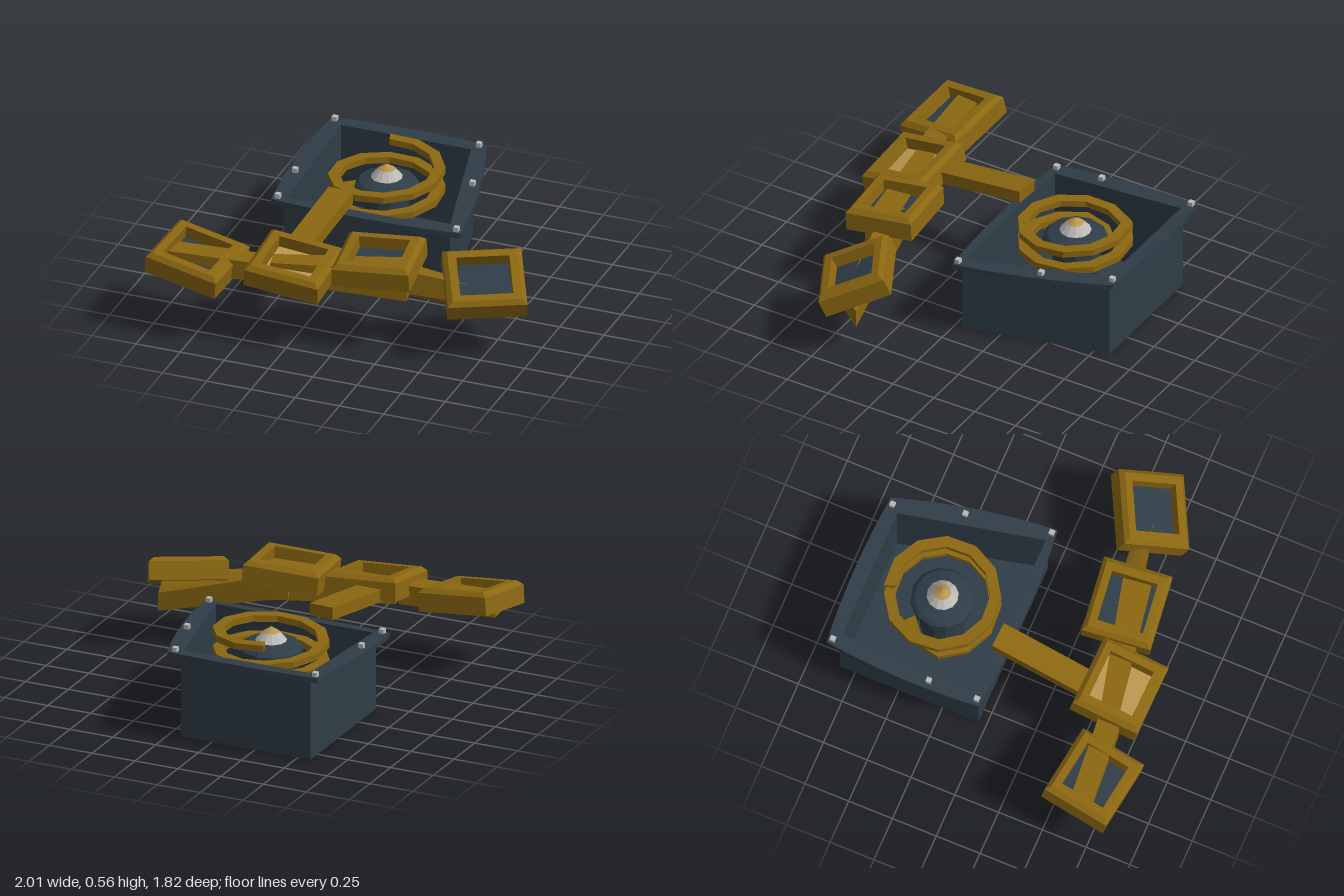
import * as THREE from 'three';
import { mergeGeometries } from 'three/addons/utils/BufferGeometryUtils.js';

const material = (name, color) => {
  const m = new THREE.MeshStandardMaterial({ color });
  m.name = name;
  return m;
};
const V = (x, y, z) => new THREE.Vector3(x, y, z);

// Four-sided bar from a to b; each end has its own width and height vector.
function beam(a, b, wa, ha, wb = wa, hb = ha) {
  const g = new THREE.BoxGeometry(1, 1, 1);
  const flip = wa.clone().cross(b.clone().sub(a)).dot(ha) < 0 ? -1 : 1;
  const p = g.attributes.position;
  for (let i = 0; i < p.count; i++) {
    const t = p.getY(i) + 0.5;
    const v = a.clone().lerp(b, t)
      .addScaledVector(wa.clone().lerp(wb, t), p.getX(i) * flip)
      .addScaledVector(ha.clone().lerp(hb, t), p.getZ(i));
    p.setXYZ(i, v.x, v.y, v.z);
  }
  g.computeVertexNormals();
  return g;
}

// Height of the sloping rim top at depth z
const rimY = (z) => 0.432 - z * 0.067;

// Trapezoid plan of the box; shape y stands for -z
function trapezoid(o, Kind) {
  const s = new Kind();
  s.moveTo(-0.565 - o, 0.055 - o);
  s.lineTo(0.352 + o, 0.055 - o);
  s.lineTo(0.17 + o, 0.825 + o);
  s.lineTo(-0.565 - o, 0.825 + o);
  s.closePath();
  return s;
}

// Upright extrusion of a plan
function slab(shape, height) {
  const g = new THREE.ExtrudeGeometry(shape, { depth: height, bevelEnabled: false, curveSegments: 8 });
  return g.rotateX(-Math.PI / 2);
}

export function createModel() {
  const root = new THREE.Group();
  const slate = material('slate', 0x2f3d47);
  const gold = material('old gold', 0x8b6711);
  const tan = material('tan', 0xb8964f);
  const silver = material('silver', 0xbcbab6);
  const add = (name, geometry, mat, parent = root) => {
    const m = new THREE.Mesh(geometry, mat);
    m.name = name;
    parent.add(m);
    return m;
  };

  // Open box with a sloping top
  const wallShape = trapezoid(0.01, THREE.Shape);
  wallShape.holes.push(trapezoid(0, THREE.Path));
  const walls = slab(wallShape, 1);
  const wp = walls.attributes.position;
  for (let i = 0; i < wp.count; i++) if (wp.getY(i) > 0.5) wp.setY(i, rimY(wp.getZ(i)) - 0.015);
  walls.computeVertexNormals();
  add('boxWalls', walls, slate);
  add('boxFloor', slab(trapezoid(0.005, THREE.Shape), 0.02), slate);

  // Bowed flange around the box top
  const rimShape = new THREE.Shape();
  rimShape.moveTo(-0.64, 0.015);
  rimShape.quadraticCurveTo(-0.1, -0.035, 0.43, 0.02);
  rimShape.quadraticCurveTo(0.385, 0.47, 0.235, 0.89);
  rimShape.quadraticCurveTo(-0.2, 0.93, -0.64, 0.885);
  rimShape.quadraticCurveTo(-0.69, 0.45, -0.64, 0.015);
  rimShape.holes.push(trapezoid(0, THREE.Path));
  const rim = slab(rimShape, 0.03);
  const rp = rim.attributes.position;
  for (let i = 0; i < rp.count; i++) rp.setY(i, rp.getY(i) + rimY(rp.getZ(i)) - 0.03);
  rim.computeVertexNormals();
  add('rim', rim, slate);

  // Small square bolts on the rim
  for (const [x, z] of [[-0.615, -0.86], [0.2, -0.865], [0.31, -0.495], [0.4, -0.04], [-0.61, -0.04], [-0.62, -0.31]]) {
    add('bolt', new THREE.BoxGeometry(0.028, 0.028, 0.028), silver).position.set(x, rimY(z) + 0.011, z);
  }

  // Central post with a pointed cap
  const cx = -0.15, cz = -0.43;
  const turned = (name, points, mat) => {
    const g = new THREE.LatheGeometry(points.map(([r, y]) => new THREE.Vector2(r, y)), 12).toNonIndexed();
    g.computeVertexNormals();
    add(name, g, mat).position.set(cx, 0, cz);
  };
  turned('post', [[0.12, 0.02], [0.12, 0.37], [0.17, 0.38], [0.17, 0.42], [0.15, 0.44], [0.085, 0.46], [0, 0.46]], slate);
  turned('capBase', [[0.085, 0.46], [0.045, 0.505]], silver);
  turned('capTip', [[0.045, 0.505], [0, 0.535]], tan);

  // Flat spiral coil, twelve straight pieces per turn, curling in at the bottom
  const steps = 23;
  const coilPoint = (i) => {
    const a = (-108.4 + 30 * i) * Math.PI / 180;
    const r = i > steps - 2 ? 0.28 - 0.045 * (i - steps + 2) : 0.28;
    return { p: V(cx + r * Math.cos(a), 0.53 - 0.009 * i, cz + r * Math.sin(a)), w: V(Math.cos(a) * 0.06, 0, Math.sin(a) * 0.06) };
  };
  const pieces = [];
  for (let i = 0; i < steps; i++) {
    const s = coilPoint(i), e = coilPoint(i + 1);
    pieces.push(beam(s.p, e.p, s.w, V(0, 0.036, 0), e.w));
  }
  add('coil', mergeGeometries(pieces), gold);

  // Chamfered square frame, unit half-width, origin at the top of its wall
  const h = -0.1, c = 0.024, q = Math.SQRT2;
  const profile = [[0.667, h], [1, h], [1, 0], [0.88, c], [0.667, c], [0.667, h]]
    .map(([r, y]) => new THREE.Vector2(r * q, y));
  const frameGeometry = new THREE.LatheGeometry(profile, 4, Math.PI / 4).toNonIndexed();
  frameGeometry.scale(0.21, 1, 0.188);
  frameGeometry.computeVertexNormals();

  // Each frame: centre, sideways edge direction, front edge direction, panel
  const frames = [
    [V(-0.77, 0.445, 0.7), V(0.415, -0.06, 0.045), V(-0.04, -0.05, 0.37), slate],
    [V(-0.25, 0.465, 0.63), V(0.418, -0.035, 0.005), V(-0.003, -0.06, 0.367), tan],
    [V(0.17, 0.51, 0.488), V(0.41, 0.022, -0.048), V(0.04, -0.027, 0.36), slate],
    [V(0.735, 0.437, 0.402), V(0.37, 0, -0.19), V(0.16, -0.16, 0.31), slate],
  ];
  for (const [centre, xEdge, zEdge, mat] of frames) {
    const x = xEdge.clone().normalize();
    const y = zEdge.clone().cross(x).normalize();
    const z = x.clone().cross(y);
    const group = new THREE.Group();
    group.name = 'frameUnit';
    group.setRotationFromMatrix(new THREE.Matrix4().makeBasis(x, y, z));
    group.position.copy(centre);
    root.add(group);
    add('frame', frameGeometry, gold, group);
    add('panel', new THREE.BoxGeometry(0.284, 0.02, 0.254), mat, group).position.y = -0.055;
  }

  // Bars that join the frames in a chain
  add('leftLink', beam(V(-0.94, 0.39, 0.69), V(-0.4, 0.39, 0.645), V(0.01, 0, 0.12), V(0, 0.11, 0)), gold);
  add('middleLink', beam(V(-0.38, 0.39, 0.625), V(0.34, 0.39, 0.48),
    V(0.02, 0, 0.1), V(0, 0.11, 0), V(0.03, 0, 0.155), V(0, 0.18, 0)), gold);
  add('rightLink', beam(V(0.17, 0.4, 0.475), V(0.865, 0.268, 0.345),
    V(0.02, 0, 0.12), V(0, 0.14, 0), V(0, 0.085, 0.075), V(0, 0.1, 0)), gold);

  // Bar reaching back towards the box
  add('arm', beam(V(-0.265, 0.505, -0.065), V(-0.305, 0.422, 0.49), V(0.14, 0, 0.008), V(0, 0.07, 0)), gold);

  return root;
}
